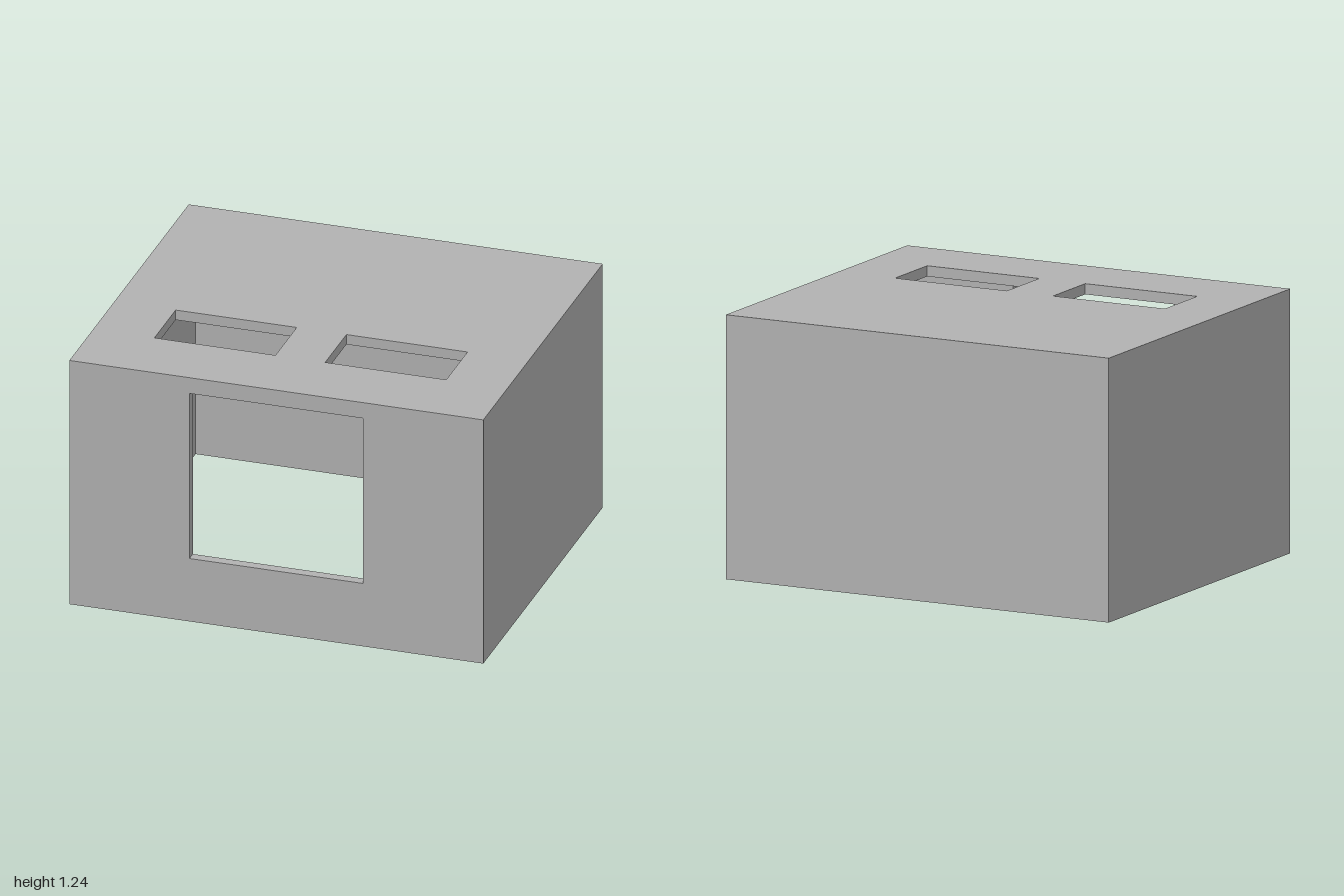
import * as THREE from 'three';

const W = 2, H = 1.24, D = 1.74, T = 0.05;

// Panel with rectangular holes [x0, y0, x1, y1]; outer face at z = 0, inner face mitred to meet its neighbours
function panelGeometry(w, h, holes, mitreBottom) {
  const rect = (path, x0, y0, x1, y1) =>
    path.moveTo(x0, y0).lineTo(x1, y0).lineTo(x1, y1).lineTo(x0, y1).closePath();
  const shape = new THREE.Shape();
  rect(shape, -w / 2, 0, w / 2, h);
  for (const hole of holes) {
    const path = new THREE.Path();
    rect(path, ...hole);
    shape.holes.push(path);
  }
  const geo = new THREE.ExtrudeGeometry(shape, { depth: T, bevelEnabled: false });
  geo.translate(0, 0, -T);
  const p = geo.attributes.position;
  for (let i = 0; i < p.count; i++) {
    if (p.getZ(i) > -T / 2) continue;
    const x = p.getX(i), y = p.getY(i);
    if (Math.abs(x) > w / 2 - 0.001) p.setX(i, x - Math.sign(x) * T);
    if (y > h - 0.001) p.setY(i, h - T);
    if (mitreBottom && y < 0.001) p.setY(i, T);
  }
  geo.computeVertexNormals();
  return geo;
}

export function createModel() {
  const group = new THREE.Group();
  const grey = new THREE.MeshStandardMaterial({ color: 0xb2b2b2 });
  grey.name = 'grey';

  const add = (name, geo, position, rx = 0, ry = 0) => {
    const mesh = new THREE.Mesh(geo, grey);
    mesh.name = name;
    mesh.position.set(...position);
    mesh.rotation.set(rx, ry, 0);
    group.add(mesh);
  };

  // Four walls, open underneath, with a square opening in the front
  add('frontWall', panelGeometry(W, H, [[-0.42, 0.32, 0.42, 1.16]]), [0, 0, D / 2]);
  add('backWall', panelGeometry(W, H, []), [0, 0, -D / 2], 0, Math.PI);
  add('leftWall', panelGeometry(D, H, []), [W / 2, 0, 0], 0, Math.PI / 2);
  add('rightWall', panelGeometry(D, H, []), [-W / 2, 0, 0], 0, -Math.PI / 2);

  // Roof with two rectangular slots towards the front
  const near = D / 2 - 0.52, far = D / 2 - 0.21;
  const slots = [[-0.705, near, -0.12, far], [0.12, near, 0.705, far]];
  add('roof', panelGeometry(W, D, slots, true), [0, H, D / 2], -Math.PI / 2);

  return group;
}
